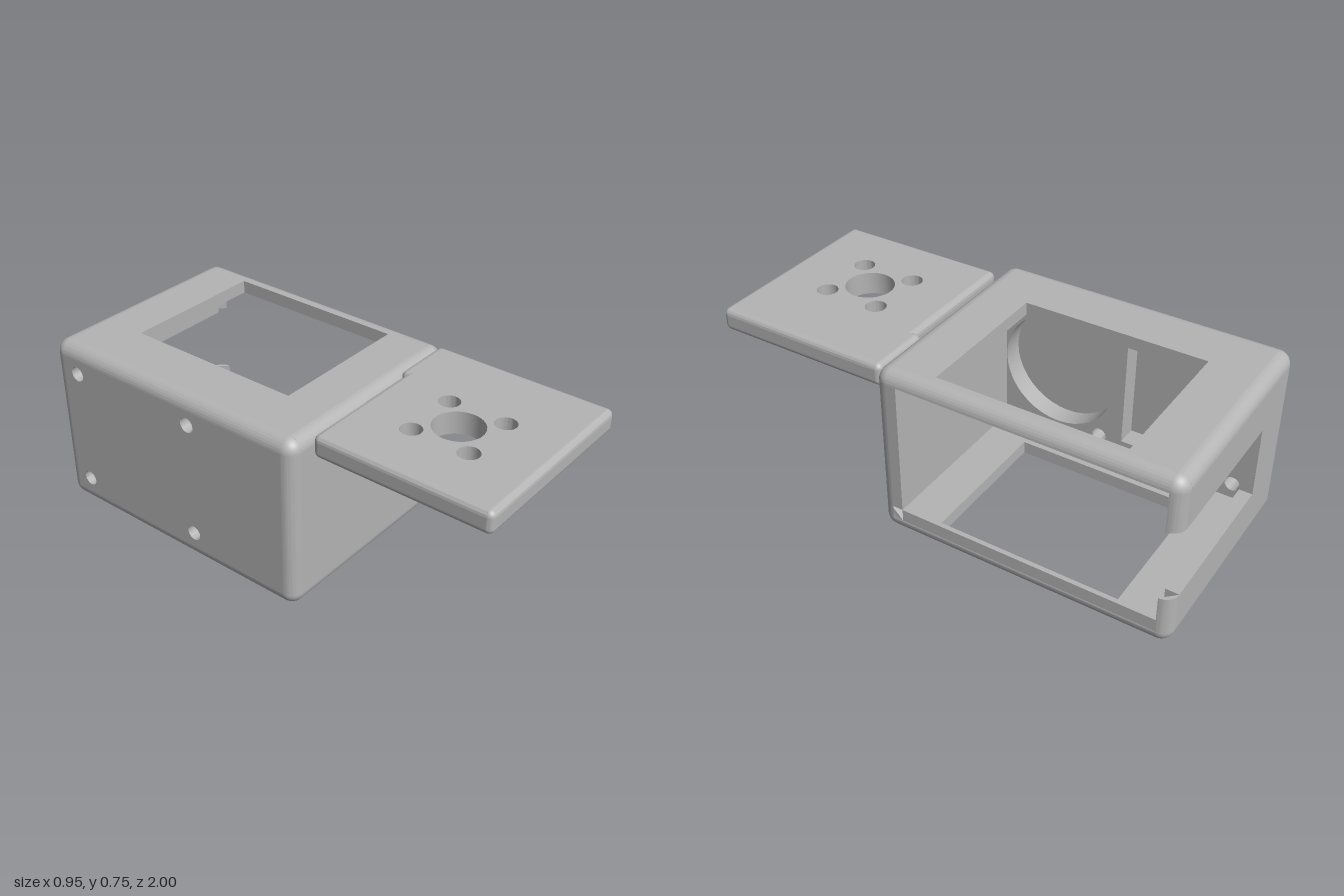
import * as THREE from 'three';
import { toCreasedNormals } from 'three/addons/utils/BufferGeometryUtils.js';
import { RoundedBoxGeometry } from 'three/addons/geometries/RoundedBoxGeometry.js';

const grey = new THREE.MeshStandardMaterial({ color: 0xb4b4b4 });
grey.name = 'grey plastic';

function add(group, name, geometry, x = 0, y = 0, z = 0) {
  const mesh = new THREE.Mesh(geometry, grey);
  mesh.name = name;
  mesh.position.set(x, y, z);
  group.add(mesh);
}

// Extrude a shape along an axis from a to b.
// Shape planes: z -> (x, y), y -> (x, -z), x -> (-z, y)
function prism(shape, axis, a, b) {
  const g = new THREE.ExtrudeGeometry(shape, { depth: b - a, bevelEnabled: false, curveSegments: 20 });
  g.translate(0, 0, a);
  if (axis === 'y') g.rotateX(-Math.PI / 2);
  if (axis === 'x') g.rotateY(Math.PI / 2);
  return toCreasedNormals(g, 0.5);
}

const poly = (pts) => new THREE.Shape(pts.map(([x, y]) => new THREE.Vector2(x, y)));
const rect = (x0, y0, x1, y1) => poly([[x0, y0], [x1, y0], [x1, y1], [x0, y1]]);
const circle = (x, y, r) => new THREE.Path().absarc(x, y, r, 0, Math.PI * 2);

function withHoles(shape, holes) {
  shape.holes.push(...holes);
  return shape;
}

// Quarter-round solid cross-section
function quarter(cx, cy, sx, sy, r) {
  const start = sy > 0 ? (sx > 0 ? 0 : Math.PI / 2) : (sx > 0 ? 1.5 * Math.PI : Math.PI);
  const s = new THREE.Shape();
  s.moveTo(cx, cy);
  s.absarc(cx, cy, r, start, start + Math.PI / 2, false);
  return s;
}

// Rounded edges and corners of a box; the +x back edge may be interrupted
function roundedFrame(group, lo, hi, r, gap) {
  const [x0, y0, z0] = lo.map((v) => v + r);
  const [x1, y1, z1] = hi.map((v) => v - r);
  const X = (s) => (s > 0 ? x1 : x0);
  const Y = (s) => (s > 0 ? y1 : y0);
  const Z = (s) => (s > 0 ? z1 : z0);
  for (const a of [-1, 1]) for (const b of [-1, 1]) {
    add(group, 'roundedEdge', prism(quarter(X(a), Y(b), a, b, r), 'z', z0, z1));
    add(group, 'roundedEdge', prism(quarter(-Z(a), Y(b), -a, b, r), 'x', x0, x1));
    const spans = gap && a > 0 && b < 0 ? [[y0, gap[0]], [gap[1], y1]] : [[y0, y1]];
    for (const [s, e] of spans) {
      add(group, 'roundedEdge', prism(quarter(X(a), -Z(b), a, -b, r), 'y', s, e));
    }
    const phi = b > 0 ? (a < 0 ? 0 : Math.PI / 2) : (a > 0 ? Math.PI : 1.5 * Math.PI);
    for (const c of [-1, 1]) {
      const ball = new THREE.SphereGeometry(r, 10, 10, phi, Math.PI / 2, c > 0 ? 0 : Math.PI / 2, Math.PI / 2);
      add(group, 'roundedCorner', ball, X(a), Y(c), Z(b));
    }
  }
}

function makeHousing() {
  const g = new THREE.Group();
  g.name = 'housing';
  const r = 0.055, H = 0.745;
  const x0 = -0.42, x1 = 0.42, y0 = r, y1 = H - r, z0 = -0.945, z1 = 0.195;
  const notch = [0.222, 0.525];
  roundedFrame(g, [-0.475, 0, -1], [0.475, H, 0.25], r, notch);

  // Top and bottom walls with rectangular windows
  for (const [name, y] of [['topWall', y1], ['bottomWall', 0]]) {
    const s = withHoles(rect(x0, -z1, x1, -z0), [rect(-0.22, -0.02, 0.4, 0.76)]);
    add(g, name, prism(s, 'y', y, y + r));
  }

  // Front wall, and back wall with a slot running to the open side
  add(g, 'frontWall', prism(rect(x0, y0, x1, y1), 'z', z1, z1 + r));
  const slotted = poly([[x0, y0], [x1, y0], [x1, notch[0]], [-0.22, notch[0]],
    [-0.22, notch[1]], [x1, notch[1]], [x1, y1], [x0, y1]]);
  add(g, 'backWall', prism(slotted, 'z', z0 - r, z0));

  // Thick side wall: outer skin with screw holes, inner layer with recesses
  const screws = () => [0.265, 0.87].flatMap((u) => [0.123, 0.628].map((v) => circle(u, v, 0.032)));
  const side = (extra) => withHoles(rect(-z1, y0, -z0, y1), [...screws(), ...extra]);
  add(g, 'sideWallSkin', prism(side([]), 'x', -0.475, -0.445));
  const recesses = [circle(0.063, 0.376, 0.256), rect(0.37, 0.133, 0.82, 0.62)];
  add(g, 'sideWallRecessed', prism(side(recesses), 'x', -0.445, -0.355));
  return g;
}

function makePlate() {
  const g = new THREE.Group();
  g.name = 'mountingPlate';
  const r = 0.025, lo = [-0.37, 0.65, 0.257], hi = [0.457, 0.745, 1];
  roundedFrame(g, lo, hi, r);

  // Core with a centre hole and four screw holes
  const holes = [circle(0, -0.625, 0.1)];
  for (const a of [-1, 1]) for (const b of [-1, 1]) holes.push(circle(a * 0.121, -0.625 + b * 0.121, 0.043));
  const core = withHoles(rect(lo[0] + r, -hi[2] + r, hi[0] - r, -lo[2] - r), holes);
  add(g, 'plateCore', prism(core, 'y', lo[1], hi[1]));

  // Flat bands around the rim
  const [w, h, d] = hi.map((v, i) => v - lo[i] - 2 * r);
  const [cx, cy, cz] = hi.map((v, i) => (v + lo[i]) / 2);
  for (const s of [-1, 1]) {
    add(g, 'plateSide', new THREE.BoxGeometry(r, h, d), cx + s * (w + r) / 2, cy, cz);
    add(g, 'plateEnd', new THREE.BoxGeometry(w, h, r), cx, cy, cz + s * (d + r) / 2);
  }

  // Tab that joins the plate to the housing
  add(g, 'joiningTab', new RoundedBoxGeometry(0.27, 0.095, 0.13, 4, r), 0.322, cy, 0.298);
  return g;
}

export function createModel() {
  const model = new THREE.Group();
  model.name = 'housingWithPlate';
  model.add(makeHousing(), makePlate());
  return model;
}
